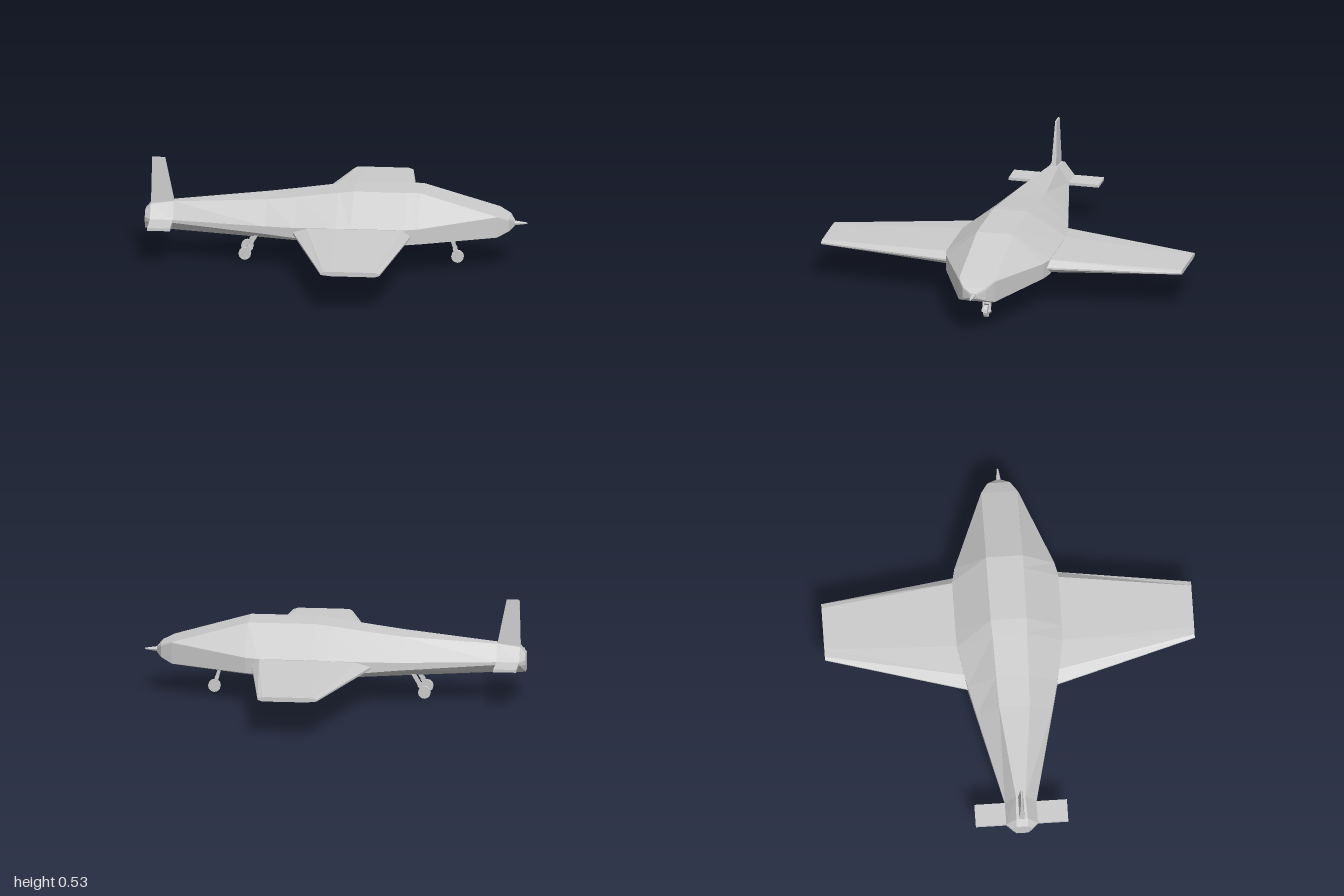
import * as THREE from 'three';

const material = new THREE.MeshStandardMaterial({ color: 0xcccccc, flatShading: true });

function addMesh(parent, name, geometry) {
  const mesh = new THREE.Mesh(geometry, material);
  mesh.name = name;
  parent.add(mesh);
  return mesh;
}

// Closed loft through rings of [x, y, z]; rings run counterclockwise about the travel direction
function loft(rings) {
  const pos = [];
  const tri = (a, b, c) => pos.push(...a, ...b, ...c);
  const n = rings[0].length;
  for (let i = 0; i < rings.length - 1; i++) {
    for (let j = 0; j < n; j++) {
      const k = (j + 1) % n;
      const [a, b, c, d] = [rings[i][j], rings[i][k], rings[i + 1][k], rings[i + 1][j]];
      tri(a, b, c);
      tri(a, c, d);
    }
  }
  const first = rings[0], last = rings[rings.length - 1];
  for (let j = 1; j < n - 1; j++) {
    tri(first[0], first[j + 1], first[j]);
    tri(last[0], last[j], last[j + 1]);
  }
  const g = new THREE.BufferGeometry();
  g.setAttribute('position', new THREE.Float32BufferAttribute(pos, 3));
  g.computeVertexNormals();
  return g;
}

// Eight-sided hull sections: x, roof half width, roof y, side half width, side top y, side bottom y, belly half width, belly y
const HULL = [
  [-1.0, 0.03, 0.25, 0.05, 0.22, 0.195, 0.03, 0.155],
  [-0.97, 0.03, 0.285, 0.083, 0.215, 0.2, 0.04, 0.155],
  [-0.85, 0.025, 0.3, 0.083, 0.215, 0.2, 0.04, 0.153],
  [-0.36, 0.08, 0.34, 0.198, 0.228, 0.187, 0.07, 0.13],
  [-0.2, 0.085, 0.36, 0.235, 0.235, 0.18, 0.08, 0.122],
  [0.02, 0.09, 0.39, 0.277, 0.248, 0.17, 0.09, 0.11],
  [0.1, 0.094, 0.4, 0.278, 0.25, 0.17, 0.09, 0.11],
  [0.38, 0.096, 0.4, 0.278, 0.25, 0.17, 0.09, 0.113],
  [0.45, 0.096, 0.4, 0.262, 0.252, 0.17, 0.09, 0.121],
  [0.85, 0.095, 0.285, 0.097, 0.28, 0.17, 0.085, 0.166],
  [0.91, 0.058, 0.262, 0.062, 0.252, 0.196, 0.05, 0.192],
  [0.935, 0.014, 0.238, 0.018, 0.23, 0.214, 0.014, 0.21],
];

function hullRing([x, rz, ry, sz, su, sl, bz, by]) {
  const half = [[rz, ry], [sz, su], [sz, sl], [bz, by]];
  const other = half.map(([z, y]) => [-z, y]).reverse();
  return [...half, ...other].map(([z, y]) => [x, y, z]);
}

// Wing sections as [x, y], counterclockwise seen from +z
const WING_ROOT = [[-0.21, 0.198], [0.0, 0.17], [0.36, 0.17], [0.42, 0.207], [0.42, 0.216], [0.38, 0.25], [0.02, 0.25], [-0.14, 0.236], [-0.21, 0.21]];
const WING_TIP = [[0.005, 0.202], [0.06, 0.196], [0.29, 0.196], [0.315, 0.204], [0.315, 0.212], [0.29, 0.22], [0.06, 0.22], [0.02, 0.218], [0.005, 0.21]];

function wing(side) {
  const rings = [[WING_ROOT, 0.22], [WING_TIP, 0.967]]
    .map(([ring, z]) => ring.map(([x, y]) => [x, y, side * z]));
  return loft(side > 0 ? rings : rings.reverse());
}

// Slanted leg with a forked foot around a small wheel
function landingGear(name, x, y, z, topX) {
  const gear = new THREE.Group();
  gear.name = name;
  gear.position.set(x, y, z);
  const wheel = addMesh(gear, 'wheel', new THREE.CylinderGeometry(0.033, 0.033, 0.02, 12));
  wheel.rotation.x = Math.PI / 2;
  const axle = addMesh(gear, 'axle', new THREE.CylinderGeometry(0.008, 0.008, 0.05, 8));
  axle.rotation.x = Math.PI / 2;

  const leg = new THREE.Group();
  leg.name = 'leg';
  const dx = topX - x, dy = 0.15 - y, length = Math.hypot(dx, dy);
  leg.rotation.z = Math.atan2(-dx, dy);
  gear.add(leg);
  const strut = addMesh(leg, 'strut', new THREE.BoxGeometry(0.018, length - 0.045, 0.024));
  strut.position.y = (length + 0.045) / 2;
  const yoke = addMesh(leg, 'yoke', new THREE.BoxGeometry(0.02, 0.014, 0.044));
  yoke.position.y = 0.044;
  for (const s of [-1, 1]) {
    const prong = addMesh(leg, 'forkProng', new THREE.BoxGeometry(0.016, 0.05, 0.008));
    prong.position.set(0, 0.018, s * 0.018);
  }
  return gear;
}

export function createModel() {
  const plane = new THREE.Group();
  plane.name = 'aeroplane';

  addMesh(plane, 'fuselage', loft(HULL.map(hullRing)));

  // Nose spike
  const spike = addMesh(plane, 'noseSpike', new THREE.CylinderGeometry(0.004, 0.015, 0.075, 8));
  spike.rotation.z = -Math.PI / 2;
  spike.position.set(0.9625, 0.224, 0);

  // Wings and tailplanes
  for (const [side, label] of [[1, 'left'], [-1, 'right']]) {
    addMesh(plane, label + 'Wing', wing(side));
    const tail = addMesh(plane, label + 'Tailplane', new THREE.BoxGeometry(0.12, 0.015, 0.2));
    tail.position.set(-0.91, 0.208, side * 0.142);
  }

  // Tapered upright fin; each row is y, rear x, front x, half thickness
  const finRings = [[0.25, -0.97, -0.84, 0.015], [0.3, -0.97, -0.85, 0.013], [0.532, -0.965, -0.897, 0.004]]
    .map(([y, x0, x1, t]) => [[x0, y, t], [x1, y, t], [x1, y, -t], [x0, y, -t]]);
  addMesh(plane, 'tailFin', loft(finRings));

  // Undercarriage
  plane.add(landingGear('noseGear', 0.635, 0.034, 0, 0.6));
  plane.add(landingGear('leftRearGear', -0.473, 0.042, 0.073, -0.41));
  plane.add(landingGear('rightRearGear', -0.473, 0.042, -0.073, -0.41));
  return plane;
}
